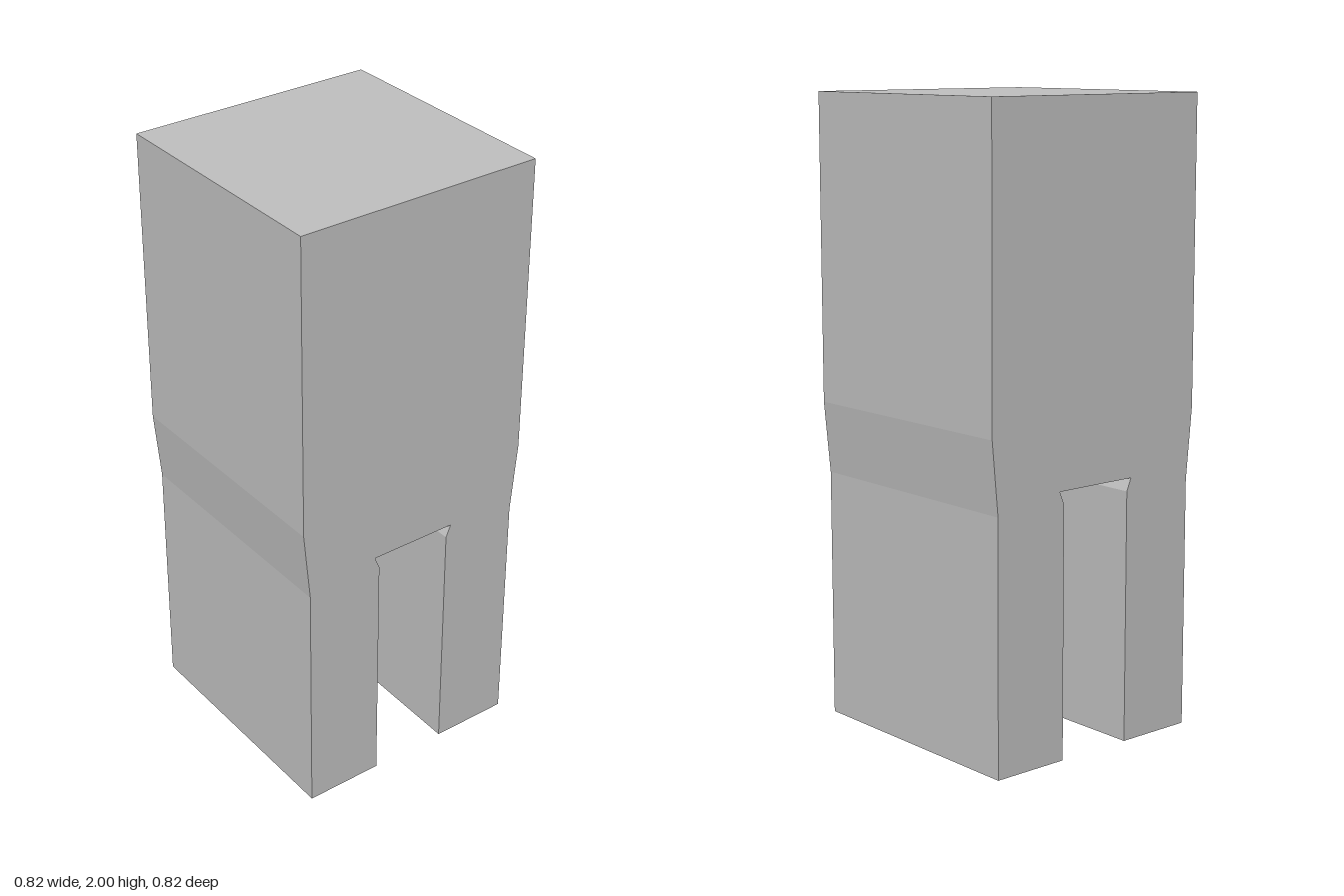
import * as THREE from 'three';

const DEPTH = 0.82;

export function createModel() {
  const model = new THREE.Group();
  model.name = 'forkedBlock';

  const grey = new THREE.MeshStandardMaterial({ color: 0xc0c0c0 });
  grey.name = 'grey';

  // Right half of the front outline: notch, leg, slanted shoulder, top
  const half = [
    [0.147, 0.84], [0.13, 0.8], [0.13, 0],
    [0.388, 0], [0.388, 0.8], [0.41, 1.03], [0.41, 2],
  ];
  const mirrored = half.map(([x, y]) => [-x, y]).reverse();
  const outline = [...half, ...mirrored].map(([x, y]) => new THREE.Vector2(x, y));

  // Block with two legs, one straight extrusion from back to front
  const geometry = new THREE.ExtrudeGeometry(new THREE.Shape(outline), {
    depth: DEPTH,
    bevelEnabled: false,
  });
  geometry.translate(0, 0, -DEPTH / 2);

  const body = new THREE.Mesh(geometry, grey);
  body.name = 'bodyWithLegs';
  model.add(body);
  return model;
}
